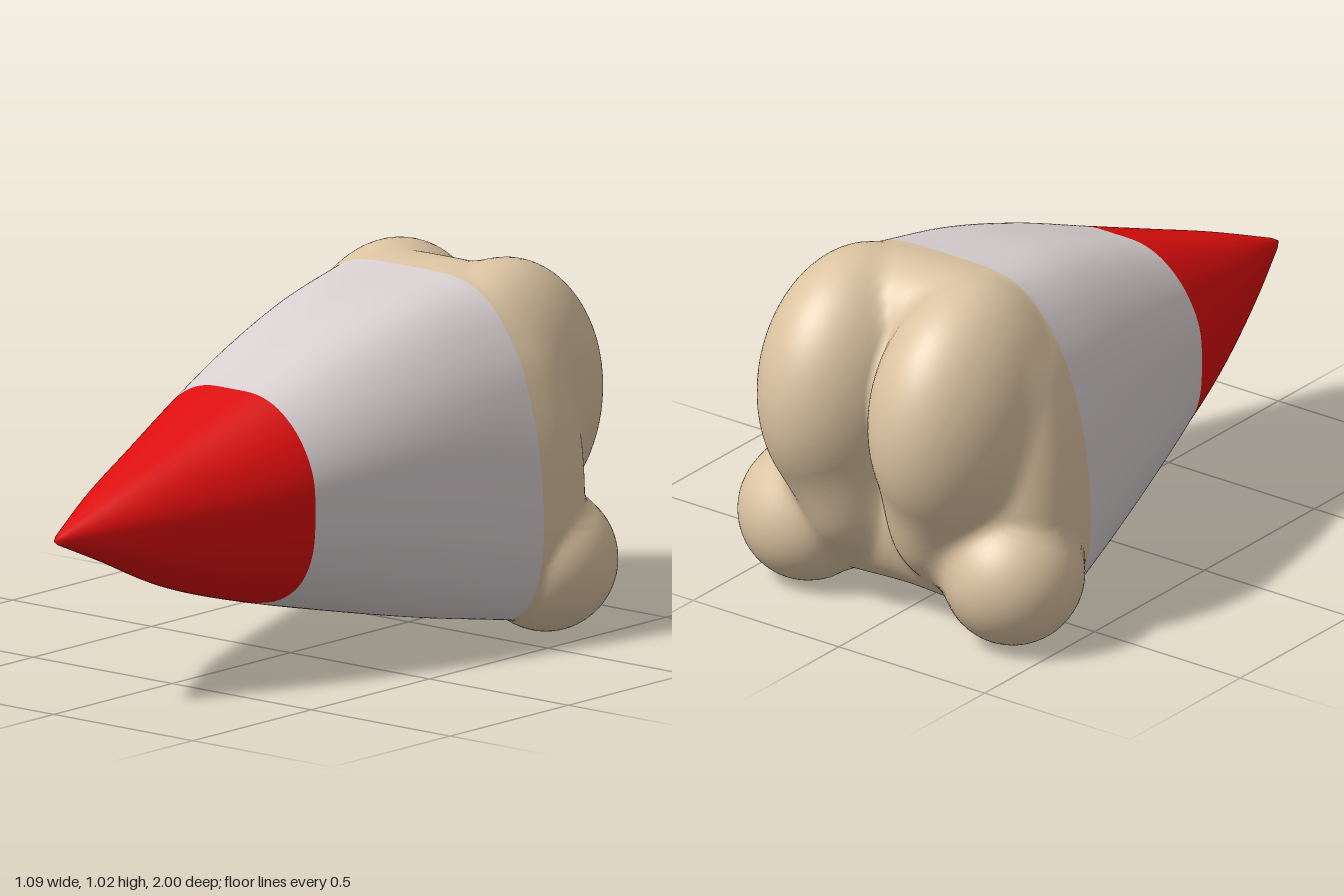
import * as THREE from 'three';

const COLS = 180, FRONT = 60, BACK = 70;

// Half outlines (top, round the +x side, to the bottom): narrow shaft and wide base
const SHAFT = [[0, .785], [.1, .78], [.18, .745], [.25, .675], [.295, .58], [.303, .47], [.295, .37], [.265, .295], [.22, .245], [.16, .212], [.08, .195], [0, .19]];
const BASE = [[0, 1], [.19, .99], [.3, .93], [.39, .81], [.44, .68], [.475, .52], [.487, .33], [.47, .19], [.42, .095], [.34, .055], [.18, .06], [0, .07]];

// Half width, top and bottom at even steps from z = 1 to z = -0.5
const PROFILE = [[.006, .49, .48], [.12, .595, .375], [.215, .69, .265], [.303, .785, .19], [.375, .88, .13], [.435, .955, .085], [.487, 1, .055]];

// Mirrored closed outline, normalised to half width 1 and height 0..1
function outline(half, w, t, b) {
  const right = half.map(([x, y]) => new THREE.Vector3(x / w, (y - b) / (t - b), 0));
  const left = right.slice(1, -1).reverse().map(p => new THREE.Vector3(-p.x, p.y, 0));
  const curve = new THREE.CatmullRomCurve3([...right, ...left], true, 'catmullrom');
  return Array.from({ length: COLS }, (_, i) => curve.getPoint(i / COLS));
}

const smoothMin = (a, b, k) => {
  const h = Math.max(k - Math.abs(a - b), 0);
  return Math.min(a, b) - h * h / (4 * k);
};

// Rounded lobes of the back, mirrored in x: centre and radii
const LOBES = [
  [[.19, .64, -.66], [.235, .38, .34]],
  [[.15, .38, -.64], [.17, .26, .26]],
  [[.35, .2, -.67], [.195, .2, .2]],
];

function lobeDistance(x, y, z) {
  let d = 10;
  for (const [c, r] of LOBES) {
    const v = [Math.abs(x) - c[0], y - c[1], z - c[2]];
    const k0 = Math.hypot(v[0] / r[0], v[1] / r[1], v[2] / r[2]);
    const k1 = Math.hypot(v[0] / r[0] ** 2, v[1] / r[1] ** 2, v[2] / r[2] ** 2);
    d = smoothMin(d, k0 * (k0 - 1) / Math.max(k1, 1e-6), .06);
  }
  return d;
}

export function createModel() {
  const shaft = outline(SHAFT, .303, .785, .19);
  const base = outline(BASE, .487, 1, .055);
  const profile = new THREE.CatmullRomCurve3(PROFILE.map(p => new THREE.Vector3(...p)), false, 'catmullrom');
  const positions = [];

  // Tapering front, morphing from the shaft outline to the base outline
  let ring = [];
  for (let r = 0; r <= FRONT; r++) {
    const u = r / FRONT, z = 1 - 1.5 * u;
    const { x: w, y: top, z: bottom } = profile.getPoint(u);
    const morph = THREE.MathUtils.clamp((.25 - z) / .75, 0, 1);
    ring = shaft.map((p, i) => {
      const q = p.clone().lerp(base[i], morph);
      return r === 0 ? [0, .485, z] : [q.x * w, bottom + q.y * (top - bottom), z];
    });
    positions.push(...ring.flat());
  }

  // Lobed back, found along rays fanning out from the middle of the base
  const cy = .5, cz = -.5;
  for (let r = 1; r <= BACK; r++) {
    const a = r / BACK * Math.PI / 2, s = Math.sin(a), c = r === BACK ? 0 : Math.cos(a);
    for (const [x, y] of ring) {
      const R = Math.hypot(x, y - cy);
      const dx = x / R * c, dy = (y - cy) / R * c, dz = -s;
      const flare = 1 + .2 * s * c;
      const body = R * flare / Math.cbrt(c ** 3 + (s * R / .28) ** 3);
      let t = 1;
      for (let n = 0; n < 70 && t > 0; n++) {
        const d = lobeDistance(dx * t, cy + dy * t, cz + dz * t);
        if (d < .0005) break;
        t -= d * .7;
      }
      const dist = -smoothMin(-body, -t, .005 + .06 * s);
      positions.push(dx * dist, cy + dy * dist, cz + dz * dist);
    }
  }

  // Index one band of rows
  function band(from, to) {
    const index = [];
    for (let r = from; r < to; r++) {
      for (let i = 0; i < COLS; i++) {
        const j = (i + 1) % COLS;
        const a = r * COLS + i, b = r * COLS + j, d = a + COLS, e = b + COLS;
        if (r > 0) index.push(a, b, d);
        if (r < FRONT + BACK - 1) index.push(b, e, d);
        else if (r === FRONT + BACK) index.push(a, b, d);
      }
    }
    return index;
  }

  // Shared smooth normals keep the colour borders seamless
  const whole = new THREE.BufferGeometry();
  whole.setAttribute('position', new THREE.Float32BufferAttribute(positions, 3));
  whole.setIndex(band(0, FRONT + BACK));
  whole.computeVertexNormals();
  const normal = whole.getAttribute('normal');
  for (let i = 0; i < COLS; i++) {
    normal.setXYZ(i, 0, 0, 1);
    normal.setXYZ((FRONT + BACK) * COLS + i, 0, 0, -1);
  }

  const group = new THREE.Group();
  group.name = 'lobedCone';
  function part(name, colourName, color, from, to) {
    const geometry = new THREE.BufferGeometry();
    geometry.setAttribute('position', whole.getAttribute('position'));
    geometry.setAttribute('normal', normal);
    geometry.setIndex(band(from, to));
    const material = new THREE.MeshStandardMaterial({ color });
    material.name = colourName;
    const mesh = new THREE.Mesh(geometry, material);
    mesh.name = name;
    group.add(mesh);
  }
  part('tip', 'red', 0xdd0d0d, 0, FRONT / 2);
  part('shaft', 'paleGrey', 0xd8cfd0, FRONT / 2, FRONT);
  part('lobedBack', 'tan', 0xdcc4a2, FRONT, FRONT + BACK);
  return group;
}
